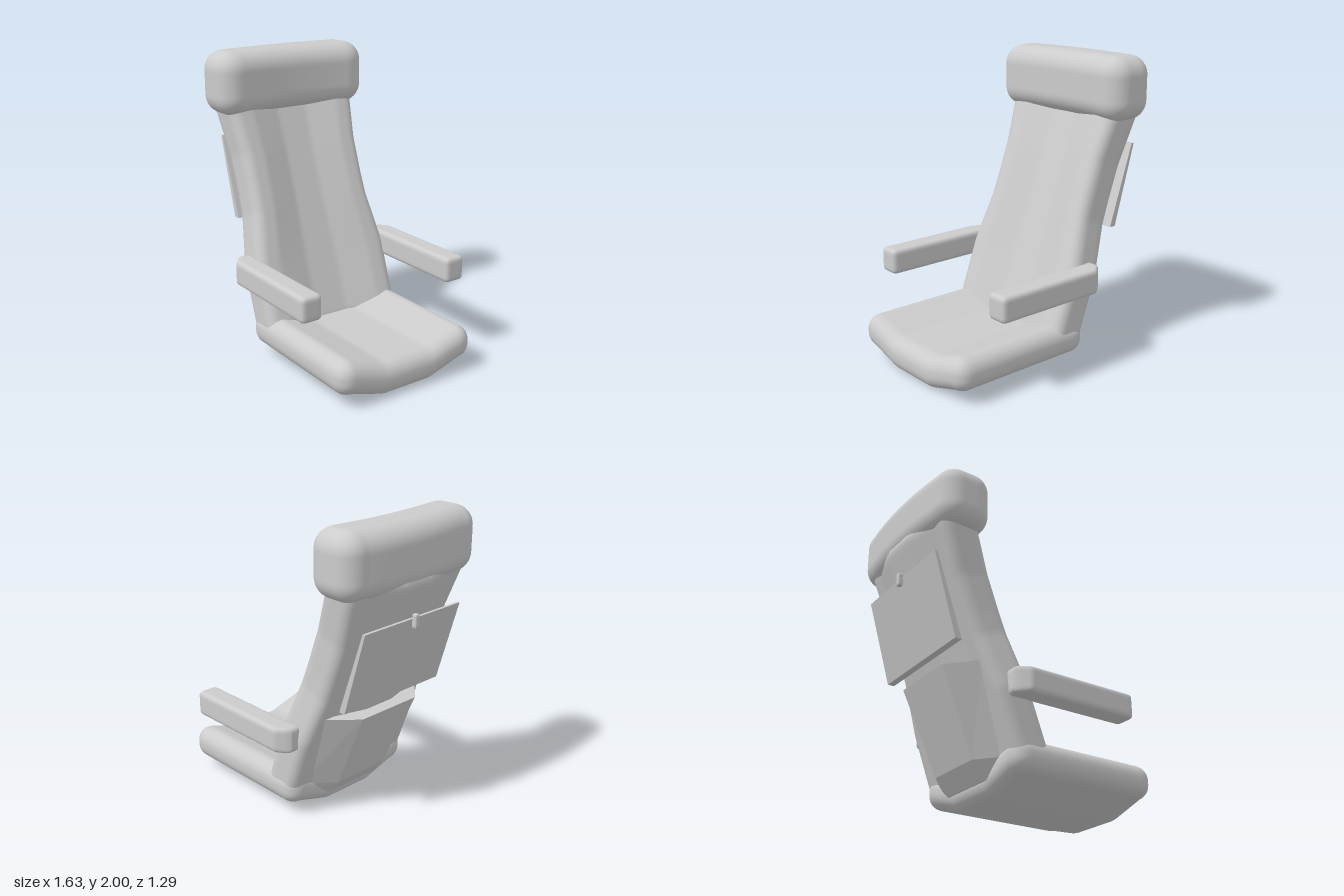
import * as THREE from 'three';
import { mergeVertices } from 'three/addons/utils/BufferGeometryUtils.js';

const { clamp, lerp } = THREE.MathUtils;
const material = new THREE.MeshStandardMaterial({ color: 0xcccccc });
const flatMaterial = new THREE.MeshStandardMaterial({ color: 0xcccccc, flatShading: true, side: THREE.DoubleSide });

// Piecewise linear lookup through [input, output] pairs
function ramp(t, stops) {
  if (t <= stops[0][0]) return stops[0][1];
  for (let i = 1; i < stops.length; i++) {
    const [a, va] = stops[i - 1], [b, vb] = stops[i];
    if (t <= b) return lerp(va, vb, (t - a) / (b - a));
  }
  return stops[stops.length - 1][1];
}

// Upholstered block: a box with rounded edges, then bent by a rule
function softBox(size, r, segments, bend) {
  let geo = new THREE.BoxGeometry(...size, ...segments);
  geo.deleteAttribute('normal');
  geo.deleteAttribute('uv');
  geo = mergeVertices(geo);
  const pos = geo.attributes.position;
  const inner = new THREE.Vector3(...size).multiplyScalar(0.5).subScalar(r);
  const p = new THREE.Vector3(), core = new THREE.Vector3();
  for (let i = 0; i < pos.count; i++) {
    p.fromBufferAttribute(pos, i);
    core.copy(p).clamp(inner.clone().negate(), inner);
    p.sub(core).setLength(r).add(core);
    if (bend) bend(p);
    pos.setXYZ(i, p.x, p.y, p.z);
  }
  geo.computeVertexNormals();
  return geo;
}

function addMesh(group, name, geo, mat = material) {
  const mesh = new THREE.Mesh(geo, mat);
  mesh.name = name;
  group.add(mesh);
  return mesh;
}

// Rear shell: six-point trapezoid sections stacked upwards
function shellGeometry() {
  const levels = [ // y, outer x, root x, outer half width, root half width
    [0.09, -0.26, -0.15, 0.2, 0.36],
    [0.2, -0.35, -0.19, 0.21, 0.41],
    [0.75, -0.59, -0.42, 0.24, 0.43],
  ];
  const points = [], index = [], n = 6;
  for (const [y, xo, xr, wo, wr] of levels) {
    points.push(xr + 0.05, y, -wr, xr, y, -wr, xo, y, -wo, xo, y, wo, xr, y, wr, xr + 0.05, y, wr);
  }
  for (let l = 0; l < levels.length - 1; l++) {
    for (let i = 0; i < n; i++) {
      const a = l * n + i, b = l * n + (i + 1) % n;
      index.push(a, b, b + n, a, b + n, a + n);
    }
  }
  const top = (levels.length - 1) * n;
  for (let i = 1; i < n - 1; i++) {
    index.push(0, i + 1, i, top, top + i, top + i + 1);
  }
  const geo = new THREE.BufferGeometry();
  geo.setAttribute('position', new THREE.Float32BufferAttribute(points, 3));
  geo.setIndex(index);
  geo.computeVertexNormals();
  return geo;
}

export function createModel() {
  const group = new THREE.Group();

  // Seat cushion, raised towards both sides
  const seat = softBox([1.06, 0.225, 1.06], 0.1, [44, 14, 44], (p) => {
    p.y += 0.075 * clamp((Math.abs(p.z) - 0.18) / 0.25, 0, 1);
  });
  addMesh(group, 'seatCushion', seat).position.set(0.28, 0.1125, 0);

  // Backrest: hollowed middle, narrow waist, leaning back
  const backrest = softBox([0.255, 1.7, 1.04], 0.075, [14, 60, 50], (p) => {
    p.x -= 0.06 * (1 - clamp((Math.abs(p.z) - 0.12) / 0.24, 0, 1));
    const width = ramp(p.y, [[-0.35, 1], [0, 0.89], [0.15, 0.88], [0.4, 0.88], [0.75, 0.96]]);
    p.z *= width;
    p.x -= 0.028;
    p.y += 1;
  });
  addMesh(group, 'backrest', backrest).rotation.z = 0.346;

  // Headrest, wrapping slightly forwards at the ends
  const headrest = softBox([0.36, 0.425, 1.14], 0.13, [24, 26, 60], (p) => {
    const t = clamp(Math.abs(p.z) / 0.42, 0, 1);
    p.x += 0.03 * t * t;
  });
  addMesh(group, 'headrest', headrest).position.set(-0.638, 1.7875, 0);

  // Armrests with the rear outer corner cut back
  for (const side of [1, -1]) {
    const arm = softBox([0.865, 0.17, 0.15], 0.03, [60, 14, 14], (p) => {
      const cut = 0.065 * clamp((-0.35 - p.x) / 0.08, 0, 1);
      const outward = clamp((p.z * side + 0.075) / 0.15, 0, 1);
      p.z -= side * cut * outward;
    });
    addMesh(group, side > 0 ? 'leftArmrest' : 'rightArmrest', arm)
      .position.set(0.1325, 0.605, side * 0.57);
  }

  // Rear lower shell
  addMesh(group, 'rearShell', shellGeometry(), flatMaterial);

  // Folded tray behind the backrest and its latch
  const outline = new THREE.Shape([
    [-0.77, 1.4], [-0.61, 0.85], [-0.565, 0.85], [-0.75, 1.4],
  ].map(([x, y]) => new THREE.Vector2(x, y)));
  const tray = new THREE.ExtrudeGeometry(outline, { depth: 0.84, bevelEnabled: false });
  addMesh(group, 'foldingTray', tray.translate(0, 0, -0.42), flatMaterial);
  const latch = softBox([0.035, 0.09, 0.035], 0.008, [6, 8, 6]);
  addMesh(group, 'trayLatch', latch).position.set(-0.78, 1.385, 0);

  return group;
}
